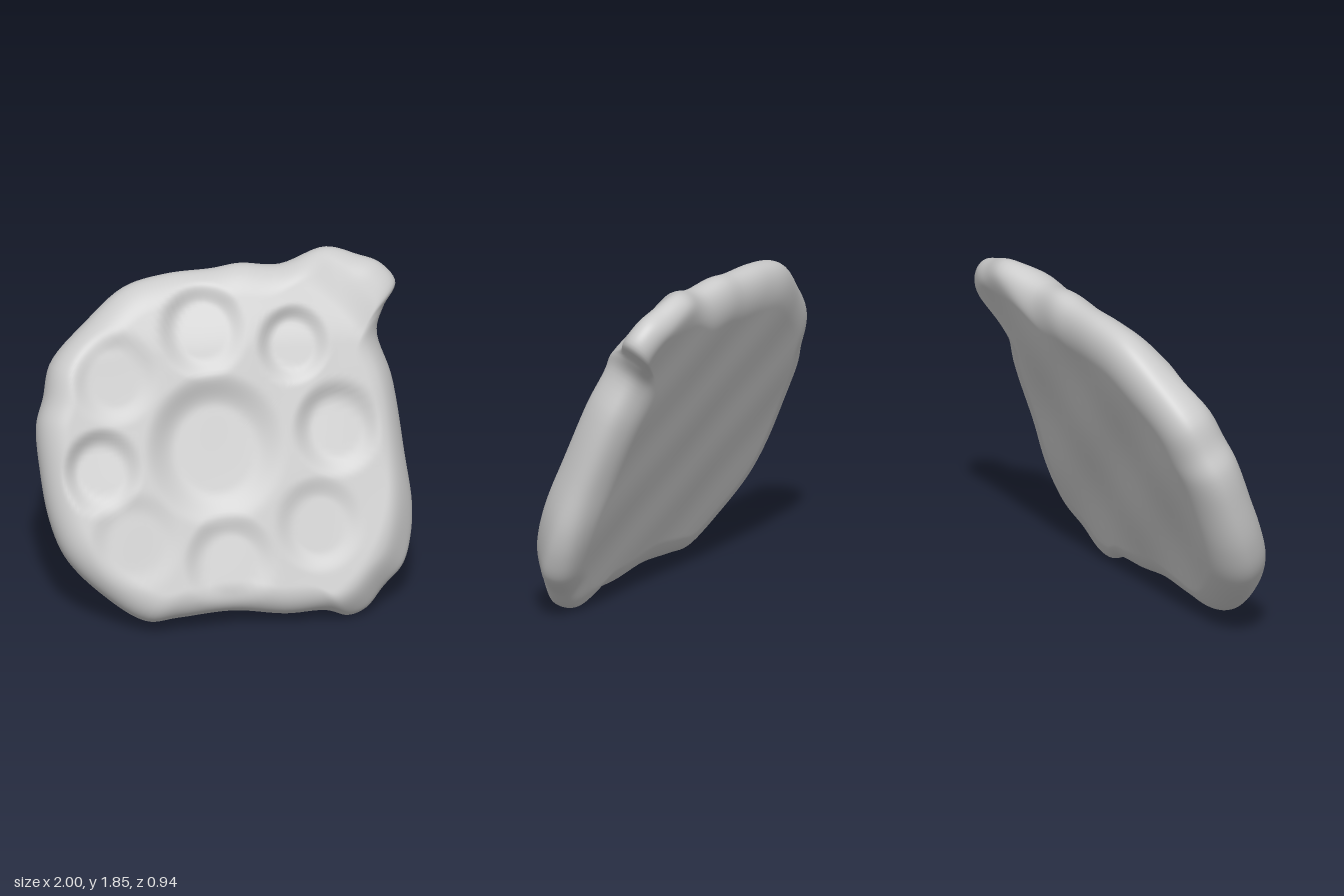
import * as THREE from 'three';

const TILT = THREE.MathUtils.degToRad(22.3);
const CY = 0.92; // height of the slab centre
const LIFT = 0.085; // the leaning front face sits this much above the mid plane
const { smoothstep, lerp } = THREE.MathUtils;

// Irregular outline of the slab, counter-clockwise (x, height)
const OUTLINE = [
  [0.62, 0], [0.72, 0.03], [0.82, 0.13], [0.93, 0.23], [0.98, 0.36], [1, 0.53], [0.975, 0.78],
  [0.93, 1.17], [0.865, 1.4], [0.915, 1.52], [0.985, 1.63], [0.91, 1.73], [0.79, 1.78], [0.62, 1.83],
  [0.36, 1.765], [0.15, 1.785], [0, 1.77], [-0.25, 1.76], [-0.48, 1.71], [-0.7, 1.55], [-0.9, 1.36],
  [-0.95, 1.19], [-0.995, 1.06], [-0.99, 0.83], [-0.955, 0.58], [-0.88, 0.39], [-0.7, 0.2], [-0.47, 0.05],
  [-0.3, 0.055], [0, 0.07], [0.28, 0.035], [0.5, 0.035],
];

// Pressed wells: x, height, radius, depth
const WELLS = [
  [-0.06, 0.97, 0.36, 0.06],
  [-0.09, 1.56, 0.23, 0.045],
  [0.39, 1.46, 0.19, 0.045],
  [0.6, 1.03, 0.23, 0.045],
  [-0.68, 0.9, 0.21, 0.05],
  [-0.58, 1.36, 0.23, 0.025],
  [-0.02, 0.4, 0.24, 0.03],
  [0.47, 0.56, 0.23, 0.025],
  [-0.52, 0.54, 0.24, 0.015],
];

// 1 where the corners step down behind the raised round body
function cornerMask(x, y) {
  const e = Math.abs((x + 0.05) / 0.93) ** 2.5 + Math.abs((y - 0.95) / 0.87) ** 2.5;
  return smoothstep(e, 0.95, 1.6) * smoothstep(x, 0.3, 0.65);
}

// Uneven face easing back at the top; each well floor slopes towards its upper left wall
function frontHeight(x, y) {
  let n = 0.14 + 0.004 * Math.sin(7 * x + 2) * Math.sin(6 * y) - 0.05 * smoothstep(y, 1.45, 1.85);
  for (const [wx, wy, r, depth] of WELLS) {
    const dx = (x - wx) / r;
    const dy = (y - wy) / r;
    const floor = depth * (1 + 0.35 * (dy - dx));
    n -= floor * (1 - smoothstep(Math.hypot(dx, dy), 0.58, 1.08));
  }
  return lerp(n, 0.035, cornerMask(x, y));
}

// Flat back, slightly thicker towards the bottom
function backHeight(x, y) {
  return -0.17 + 0.015 * (y - CY) + 0.004 * Math.sin(8 * x + 3 * y) * Math.sin(7 * y + 1);
}

// Closed skin: rings run from the front centre over the rounded edge to the back centre
function slabGeometry(segments = 190, rings = 64) {
  const curve = new THREE.CatmullRomCurve3(
    OUTLINE.map(([x, y]) => new THREE.Vector3(x, y - CY, 0)), true);
  const rim = Array.from({ length: segments }, (_, j) => curve.getPoint(j / segments));
  const positions = [];
  const indices = [];
  for (let i = 0; i <= 2 * rings; i++) {
    const s = Math.sin((i / rings) * Math.PI / 2);
    const isFront = i <= rings;
    for (const p of rim) {
      const x = p.x * s;
      const v = p.y * s;
      const y = v + CY;
      const mask = cornerMask(x, y + LIFT / 2);
      const width = isFront ? 0.16 : lerp(0.19, 0.11, mask);
      const inset = Math.min(1, (1 - s) * p.length() / width);
      const round = Math.sqrt(1 - (1 - inset) ** 2);
      const seam = -0.035 - 0.03 * mask;
      const face = isFront ? frontHeight(x, y + LIFT) : backHeight(x, y);
      positions.push(x, v / Math.cos(TILT), lerp(seam, face, round));
    }
  }
  for (let i = 0; i < 2 * rings; i++) {
    for (let j = 0; j < segments; j++) {
      const k = (j + 1) % segments;
      const a = i * segments + j;
      const b = (i + 1) * segments + j;
      const c = (i + 1) * segments + k;
      const d = i * segments + k;
      if (i < 2 * rings - 1) indices.push(a, b, c);
      if (i > 0) indices.push(a, c, d);
    }
  }
  const geometry = new THREE.BufferGeometry();
  geometry.setAttribute('position', new THREE.Float32BufferAttribute(positions, 3));
  geometry.setIndex(indices);
  // Lean back, stand on the ground and centre
  geometry.rotateX(-TILT);
  geometry.computeBoundingBox();
  const { min, max } = geometry.boundingBox;
  geometry.translate(-(min.x + max.x) / 2, -min.y, -(min.z + max.z) / 2);
  geometry.computeVertexNormals();
  return geometry;
}

export function createModel() {
  const group = new THREE.Group();
  group.name = 'palette';
  const slab = new THREE.Mesh(slabGeometry(), new THREE.MeshStandardMaterial({ color: 0xcccccc }));
  slab.name = 'slabWithWells';
  group.add(slab);
  return group;
}
